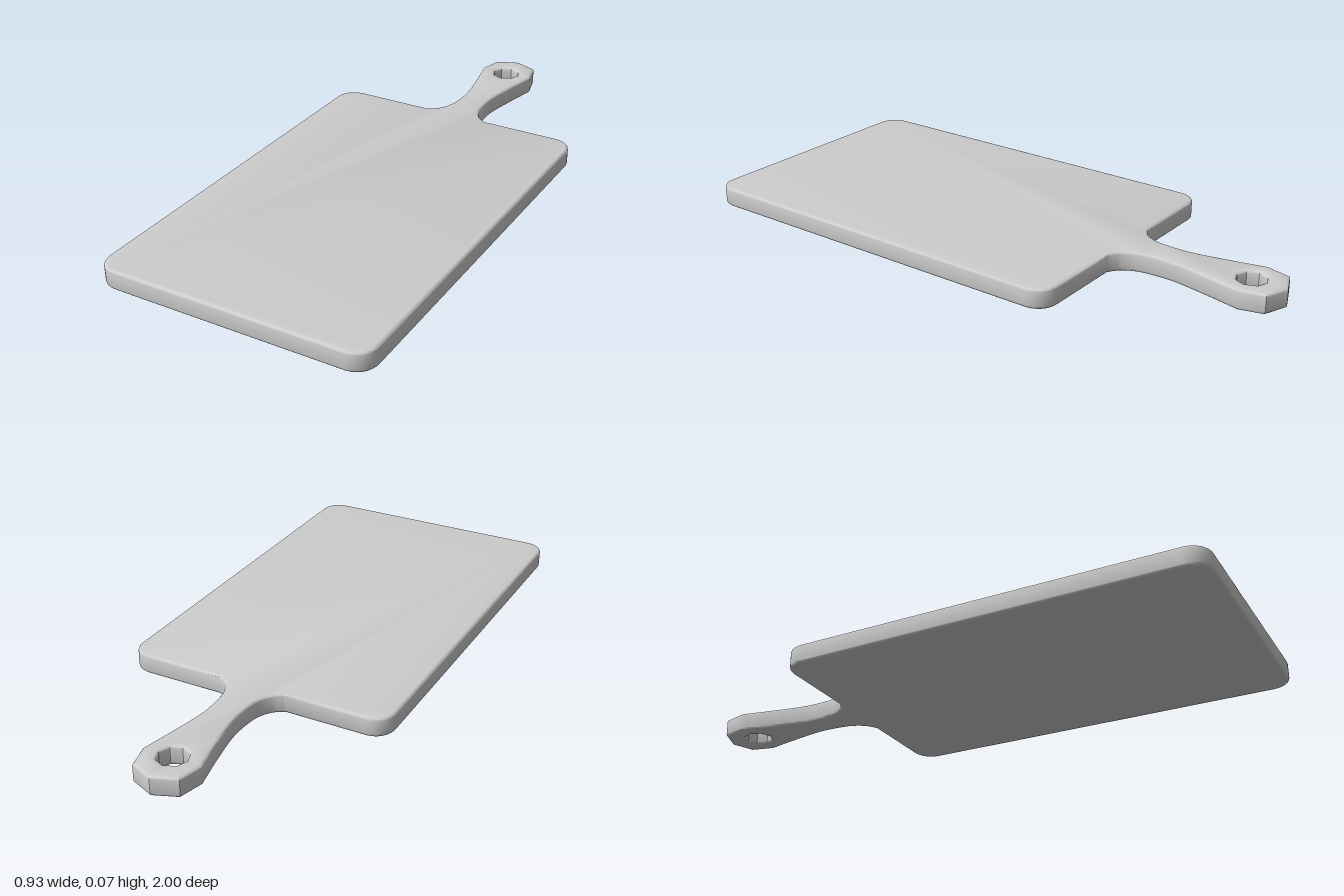
import * as THREE from 'three';
import { toCreasedNormals } from 'three/addons/utils/BufferGeometryUtils.js';

const HEIGHT = 0.067, BEVEL = 0.009;
const HALF_WIDTH = 0.467, SHOULDER = 0.44, CORNER = 0.07;

// Outline in plan; the handle points towards +y here, which becomes the back (-z).
function boardOutline() {
  const w = HALF_WIDTH - CORNER;
  const neck = [[0.12, 0.44], [0.088, 0.462], [0.066, 0.497], [0.055, 0.545], [0.053, 0.635], [0.072, 0.75], [0.101, 0.885]];
  const points = (list, sign) => list.map(([x, y]) => new THREE.Vector2(sign * x, y));

  const s = new THREE.Shape();
  s.moveTo(-w, -1);
  s.absarc(w, -1 + CORNER, CORNER, -Math.PI / 2, 0);
  s.absarc(w, SHOULDER - CORNER, CORNER, 0, Math.PI / 2);
  // Right side of the neck, faceted head, then the mirrored neck
  s.lineTo(neck[0][0], neck[0][1]);
  s.splineThru(points(neck.slice(1), 1));
  s.lineTo(0.08, 0.968);
  s.lineTo(0, 1);
  s.lineTo(-0.08, 0.968);
  s.lineTo(-0.101, 0.885);
  s.splineThru(points(neck.slice(0, -1).reverse(), -1));
  s.absarc(-w, SHOULDER - CORNER, CORNER, Math.PI / 2, Math.PI);
  s.absarc(-w, -1 + CORNER, CORNER, Math.PI, Math.PI * 1.5);

  // Eight-sided hanging hole
  const hole = new THREE.Path();
  hole.absarc(0, 0.88, 0.05, 0, Math.PI * 2, true);
  s.holes.push(hole);
  return s;
}

export function createModel() {
  const group = new THREE.Group();
  group.name = 'choppingBoard';

  // One slab with softly rounded edges
  const slab = new THREE.ExtrudeGeometry(boardOutline(), {
    depth: HEIGHT - 2 * BEVEL,
    curveSegments: 4,
    bevelEnabled: true,
    bevelThickness: BEVEL,
    bevelSize: BEVEL,
    bevelOffset: 0 - BEVEL,
    bevelSegments: 3,
  });
  slab.translate(0, 0, BEVEL);
  slab.rotateX(-Math.PI / 2);

  const board = new THREE.Mesh(
    toCreasedNormals(slab, 0.65),
    new THREE.MeshStandardMaterial({ color: 0xcccccc })
  );
  board.name = 'boardWithHandle';
  group.add(board);
  return group;
}
